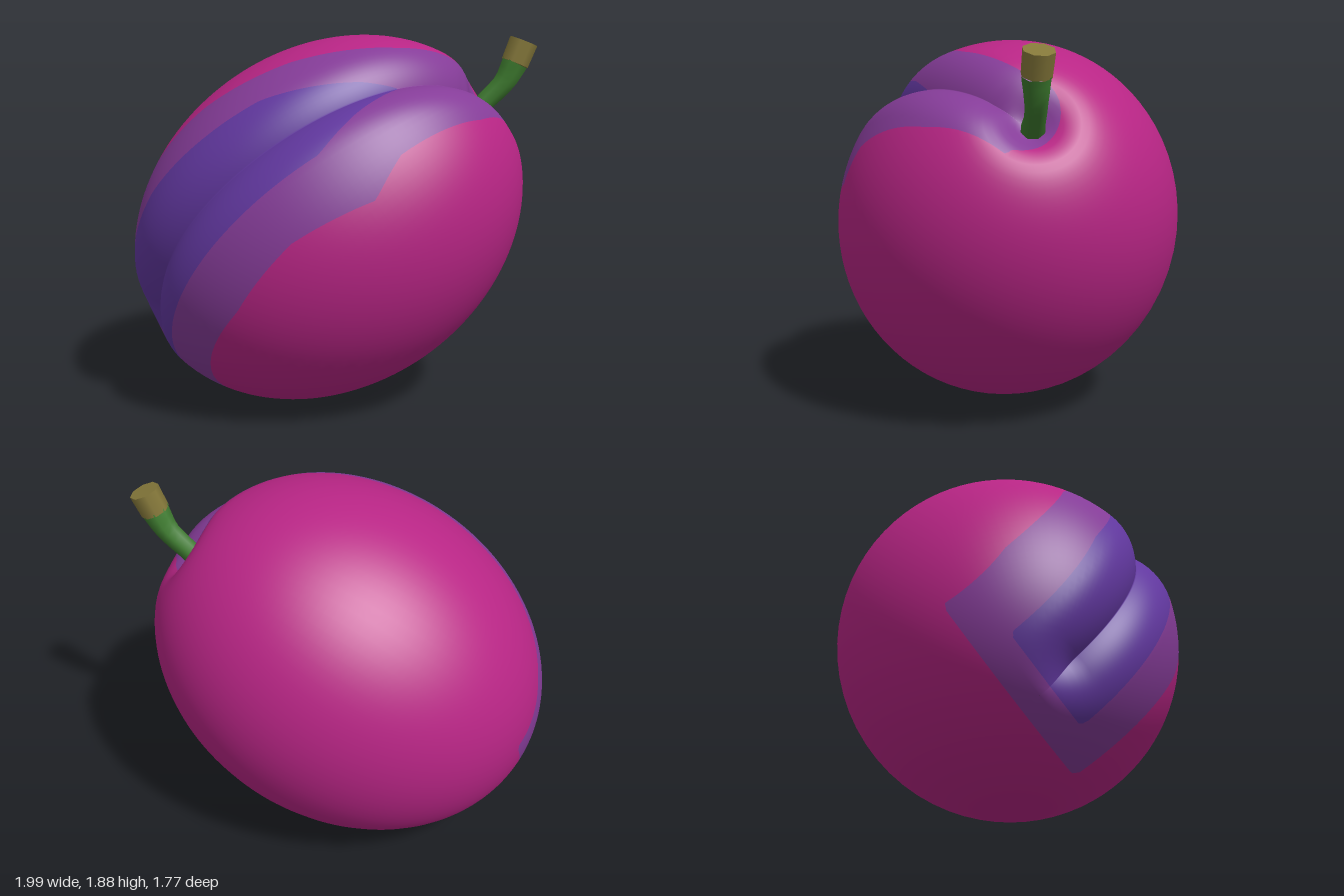
import * as THREE from 'three';

const paint = (name, color) => {
  const m = new THREE.MeshStandardMaterial({ color });
  m.name = name;
  return m;
};

// Fruit frame: stem axis, direction of the groove, and sideways
const CENTER = new THREE.Vector3(-0.02, 0.94, 0);
const AXIS = new THREE.Vector3(0.764, 0.584, 0.273).normalize();
const GROOVE = new THREE.Vector3(-0.62, 0.54, 0.56);
GROOVE.addScaledVector(AXIS, -GROOVE.dot(AXIS)).normalize();
const SIDE = new THREE.Vector3().crossVectors(AXIS, GROOVE);
const LENGTH = 1.06, RADIUS = 0.87;

// Spheroid position in the fruit frame: x along the axis, y to the groove, z sideways
const local = (theta, phi) => new THREE.Vector3(
  LENGTH * Math.cos(theta),
  RADIUS * Math.sin(theta) * Math.cos(phi),
  RADIUS * Math.sin(theta) * Math.sin(phi));

// Surface with the long groove and the dimple around the stem pressed in
function surface(theta, phi) {
  const l = local(theta, phi);
  const v = Math.max(0, 1 - Math.abs(l.z) / 0.25);
  const groove = 0.09 * v * v * THREE.MathUtils.smoothstep(l.y, 0, 0.25);
  const rho = Math.hypot(l.y, l.z);
  const dimple = l.x > 0 ? 0.13 * Math.exp(-((rho / 0.15) ** 2)) : 0;
  return new THREE.Vector3()
    .addScaledVector(AXIS, l.x).addScaledVector(GROOVE, l.y).addScaledVector(SIDE, l.z)
    .multiplyScalar(1 - groove - dimple).add(CENTER);
}

function vertex(theta, phi) {
  const e = 0.004;
  const dTheta = surface(theta + e, phi).sub(surface(theta - e, phi));
  const dPhi = surface(theta, phi + e).sub(surface(theta, phi - e));
  return { p: surface(theta, phi), n: dTheta.cross(dPhi).normalize(), l: local(theta, phi) };
}

// Piecewise linear curve through [x, y] points
function curve(points, x) {
  for (let i = 1; i < points.length; i++) {
    const [x0, y0] = points[i - 1], [x1, y1] = points[i];
    if (x <= x1) return y0 + (y1 - y0) * (x - x0) / (x1 - x0);
  }
  return points[points.length - 1][1];
}

// Half widths of the colour bands along the axis, on the front and back of the groove
const BLOOM_FRONT = [[-1.06, 0.43], [-0.54, 0.48], [-0.14, 0.45], [0.28, 0.49], [0.49, 0.37], [0.9, 0.28], [1.06, 0.2]];
const BLOOM_BACK = [[-1.06, 0.48], [-0.75, 0.55], [-0.17, 0.5], [0.32, 0.385], [0.78, 0.22], [1.06, 0.18]];
const STREAK_FRONT = [[-1.06, 0.24], [-0.6, 0.23], [0.19, 0.21], [0.45, 0.1], [0.73, 0], [1.06, -0.3]];
const STREAK_BACK = [[-1.06, 0.28], [-0.6, 0.31], [0.1, 0.23], [0.57, 0.07], [0.73, 0], [1.06, -0.3]];

const band = (l, front, back) => curve(l.z > 0 ? front : back, l.x) - Math.abs(l.z);
const streakField = (l) => Math.min(band(l, STREAK_FRONT, STREAK_BACK), l.y - 0.06);
const bloomField = (l) => {
  const strip = Math.min(band(l, BLOOM_FRONT, BLOOM_BACK), l.y + (l.x > 0 ? 0.02 : 0.1));
  const ring = l.x > 0 ? 0.21 - Math.hypot(l.y - 0.09, l.z) : -1;
  return Math.max(strip, ring);
};

// Part of each polygon where the field is positive (sign 1) or negative (sign -1)
function clip(polygons, field, sign) {
  const result = [];
  for (const poly of polygons) {
    const out = [];
    poly.forEach((a, i) => {
      const b = poly[(i + 1) % poly.length];
      const fa = sign * field(a.l), fb = sign * field(b.l);
      if (fa >= 0) out.push(a);
      if ((fa >= 0) !== (fb >= 0)) {
        const t = fa / (fa - fb);
        out.push({ p: a.p.clone().lerp(b.p, t), n: a.n.clone().lerp(b.n, t).normalize(), l: a.l.clone().lerp(b.l, t) });
      }
    });
    if (out.length > 2) result.push(out);
  }
  return result;
}

function skinMesh(name, polygons, material) {
  const positions = [], normals = [];
  for (const poly of polygons) {
    for (let i = 1; i < poly.length - 1; i++) {
      for (const v of [poly[0], poly[i], poly[i + 1]]) {
        positions.push(...v.p.toArray());
        normals.push(...v.n.toArray());
      }
    }
  }
  const geo = new THREE.BufferGeometry();
  geo.setAttribute('position', new THREE.Float32BufferAttribute(positions, 3));
  geo.setAttribute('normal', new THREE.Float32BufferAttribute(normals, 3));
  const mesh = new THREE.Mesh(geo, material);
  mesh.name = name;
  return mesh;
}

// Fruit body, with columns crowded towards the groove
function createFruit() {
  const rows = 72, cols = 96, grid = [], triangles = [];
  for (let i = 0; i <= rows; i++) {
    const theta = 0.001 + (Math.PI - 0.002) * i / rows;
    grid.push([]);
    for (let j = 0; j <= cols; j++) {
      const t = 2 * j / cols - 1;
      grid[i].push(vertex(theta, Math.PI * Math.sign(t) * Math.abs(t) ** 1.6));
    }
  }
  for (let i = 0; i < rows; i++) {
    for (let j = 0; j < cols; j++) {
      const a = grid[i][j], b = grid[i + 1][j], c = grid[i + 1][j + 1], d = grid[i][j + 1];
      triangles.push([a, b, c], [a, c, d]);
    }
  }
  const rest = clip(triangles, streakField, -1);
  const fruit = new THREE.Group();
  fruit.name = 'fruit';
  fruit.add(
    skinMesh('skin', clip(rest, bloomField, -1), paint('magenta skin', 0xb82585)),
    skinMesh('bloom', clip(rest, bloomField, 1), paint('purple bloom', 0x853c98)),
    skinMesh('streak', clip(triangles, streakField, 1), paint('violet streak', 0x6238a0)));
  return fruit;
}

// Curved stem that flares at both ends, with a cut woody tip
function createStem() {
  const path = new THREE.CatmullRomCurve3([
    [0.65, 1.43, 0.225], [0.75, 1.54, 0.26], [0.835, 1.64, 0.3], [0.88, 1.74, 0.325],
  ].map((p) => new THREE.Vector3(...p)));
  const steps = 9, sides = 8;
  const geo = new THREE.TubeGeometry(path, steps, 1, sides);
  const pos = geo.attributes.position, v = new THREE.Vector3();
  for (let i = 0; i < pos.count; i++) {
    const t = Math.floor(i / (sides + 1)) / steps;
    const c = path.getPointAt(t);
    const r = curve([[0, 0.068], [0.35, 0.052], [0.7, 0.057], [1, 0.071]], t);
    v.fromBufferAttribute(pos, i).sub(c).multiplyScalar(r).add(c);
    pos.setXYZ(i, v.x, v.y, v.z);
  }
  const stalk = new THREE.Mesh(geo, paint('stem green', 0x3d7a2e));
  stalk.name = 'stalk';

  const base = new THREE.Vector3(0.878, 1.735, 0.324), top = new THREE.Vector3(0.92, 1.845, 0.335);
  const dir = top.clone().sub(base);
  const tip = new THREE.Mesh(new THREE.CylinderGeometry(0.075, 0.072, dir.length(), sides), paint('woody brown', 0x85783a));
  tip.name = 'stemTip';
  tip.position.copy(base).add(top).multiplyScalar(0.5);
  tip.quaternion.setFromUnitVectors(new THREE.Vector3(0, 1, 0), dir.normalize());

  const stem = new THREE.Group();
  stem.name = 'stem';
  stem.add(stalk, tip);
  return stem;
}

export function createModel() {
  const model = new THREE.Group();
  model.name = 'plum';
  model.add(createFruit(), createStem());
  return model;
}
